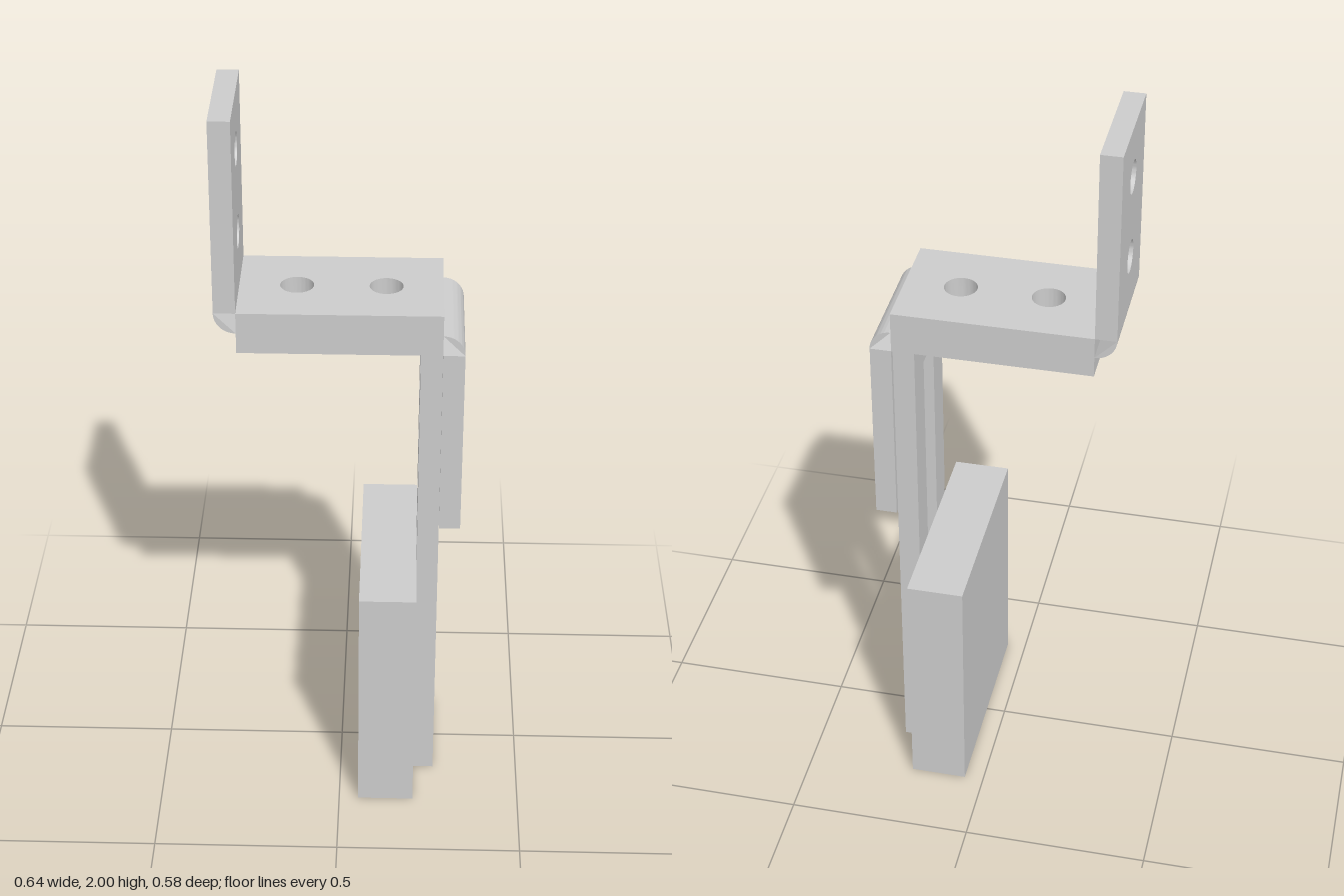
import * as THREE from 'three';
import { toCreasedNormals } from 'three/addons/utils/BufferGeometryUtils.js';

const material = new THREE.MeshStandardMaterial({ color: 0xcccccc });

function extrude(shape, depth) {
  const g = new THREE.ExtrudeGeometry(shape, { depth, bevelEnabled: false, curveSegments: 24 });
  return toCreasedNormals(g, 0.6);
}

function rect(x0, x1, y0, y1, Type = THREE.Shape) {
  const s = new Type();
  s.moveTo(x0, y0);
  s.lineTo(x1, y0);
  s.lineTo(x1, y1);
  s.lineTo(x0, y1);
  s.closePath();
  return s;
}

function roundHole(x, y, r) {
  const p = new THREE.Path();
  p.absarc(x, y, r, 0, Math.PI * 2, true);
  return p;
}

function add(parent, name, geometry) {
  const mesh = new THREE.Mesh(geometry, material);
  mesh.name = name;
  parent.add(mesh);
  return mesh;
}

// Upright slab facing +x, centred on z, with holes along its middle
function uprightPlate(x0, x1, y0, y1, halfWidth, holes) {
  const s = rect(-halfWidth, halfWidth, y0, y1);
  s.holes.push(...holes);
  return extrude(s, x1 - x0).rotateY(Math.PI / 2).translate(x0, 0, 0);
}

// Level slab, centred on z, with round holes at the given x positions
function levelPlate(x0, x1, y0, y1, halfWidth, holeXs, r) {
  const s = rect(x0, x1, -halfWidth, halfWidth);
  holeXs.forEach((x) => s.holes.push(roundHole(x, 0, r)));
  return extrude(s, y1 - y0).rotateX(-Math.PI / 2).translate(0, y0, 0);
}

// Quarter-round outer bend running along z
function bend(cx, cy, r, start, halfWidth) {
  const s = new THREE.Shape();
  s.moveTo(cx, cy);
  s.absarc(cx, cy, r, start, start + Math.PI / 2, false);
  s.closePath();
  return extrude(s, halfWidth * 2).translate(0, 0, -halfWidth);
}

export function createModel() {
  const model = new THREE.Group();
  model.name = 'adjustableBracket';

  const W = 0.162;        // bracket half width
  const R = 0.044;        // bolt hole radius
  const T = 0.057;        // sheet thickness
  const L = -0.267, E = 0.263; // ends of the level plates
  const shelfHoles = [-0.117, 0.115];

  // Upper angle: upright leg, bend and level leg
  const upper = new THREE.Group();
  upper.name = 'upperAngle';
  add(upper, 'upperLeg', uprightPlate(L - T, L, 1.473, 2, W,
    [1.855, 1.625].map((y) => roundHole(0, y, R))));
  add(upper, 'upperBend', bend(L, 1.473, T, Math.PI, W));
  add(upper, 'upperShelf', levelPlate(L, E, 1.416, 1.473, W, shelfHoles, R));

  // Lower angle: level leg, bend and hanging leg
  const lower = new THREE.Group();
  lower.name = 'lowerAngle';
  add(lower, 'lowerShelf', levelPlate(L, E, 1.359, 1.416, W, shelfHoles, R));
  add(lower, 'lowerBend', bend(E, 1.359, T, 0, W));
  add(lower, 'lowerLeg', uprightPlate(E, E + T, 0.83, 1.359, W,
    [1.205, 0.978].map((y) => roundHole(0, y, R))));

  // Slotted bar behind the hanging leg
  add(model, 'slottedBar', uprightPlate(0.206, E, 0, 1.359, 0.147,
    [rect(-0.053, 0.053, 0.1, 1.26, THREE.Path)]));

  // Block with two blind holes facing the slot
  const block = new THREE.Group();
  block.name = 'block';
  add(block, 'blockBack', uprightPlate(0.053, 0.1, 0, 0.677, 0.29, []));
  add(block, 'blockFront', uprightPlate(0.1, 0.206, 0, 0.677, 0.29,
    [0.487, 0.197].map((y) => roundHole(0, y, 0.03))));

  model.add(upper, lower, block);
  return model;
}
